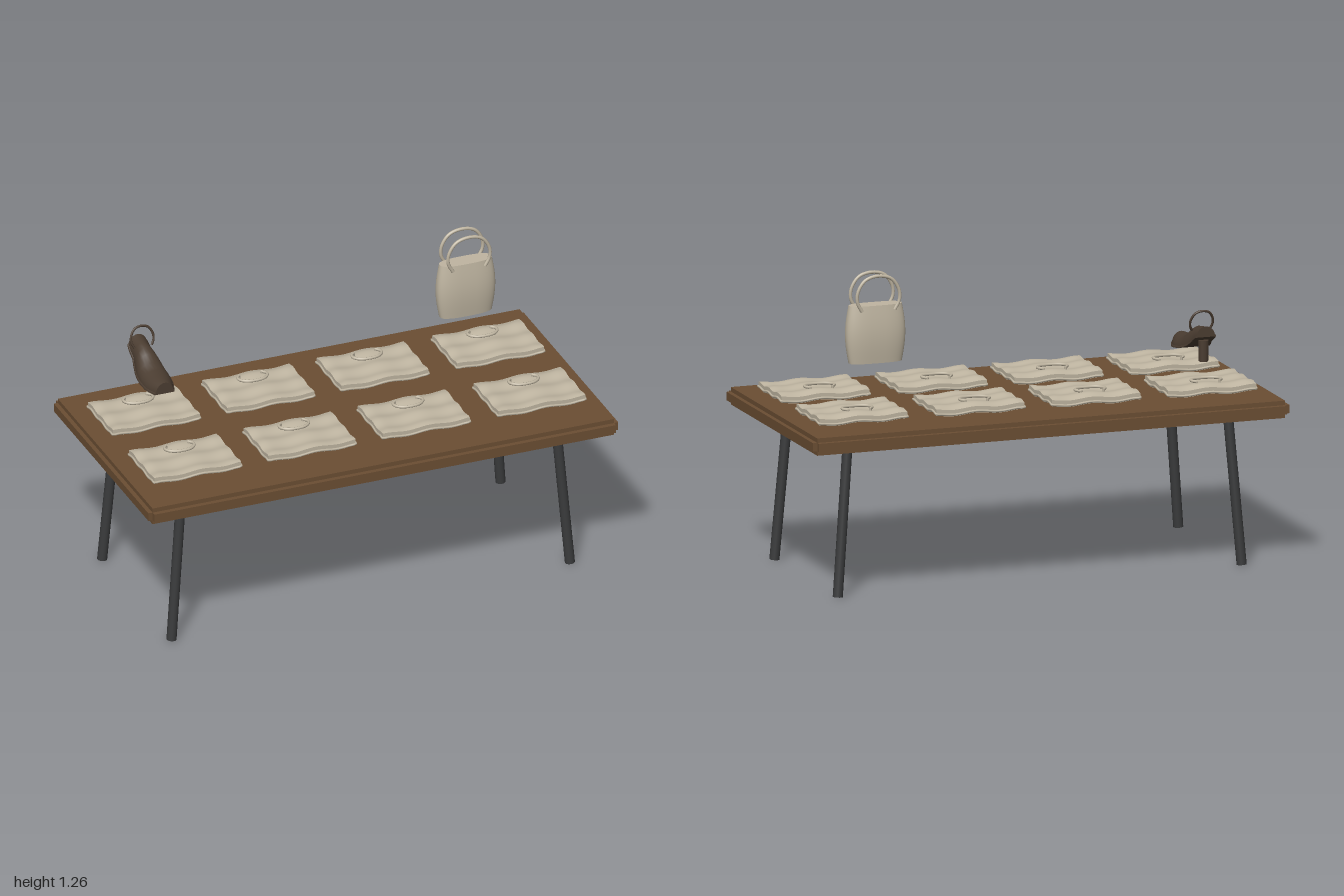
import * as THREE from 'three';

const mat = (name, color, side = THREE.FrontSide) => {
  const m = new THREE.MeshStandardMaterial({ color, side });
  m.name = name;
  return m;
};

// Skin over a list of equal rings, with flat end caps
function loft(rings) {
  const n = rings[0].length, pos = [], idx = [];
  rings.forEach(r => r.forEach(p => pos.push(...p)));
  for (let i = 0; i < rings.length - 1; i++) {
    for (let j = 0; j < n; j++) {
      const a = i * n + j, b = i * n + (j + 1) % n;
      idx.push(a, b, a + n, b, b + n, a + n);
    }
  }
  [rings[0], rings[rings.length - 1]].forEach((r, end) => {
    const c = pos.length / 3;
    pos.push(...[0, 1, 2].map(k => r.reduce((s, p) => s + p[k], 0) / n));
    r.forEach(p => pos.push(...p));
    for (let j = 0; j < n; j++) {
      const a = c + 1 + j, b = c + 1 + (j + 1) % n;
      idx.push(c, end ? a : b, end ? b : a);
    }
  });
  const g = new THREE.BufferGeometry();
  g.setAttribute('position', new THREE.Float32BufferAttribute(pos, 3));
  g.setIndex(idx);
  g.computeVertexNormals();
  return g;
}

// Horseshoe handle standing in the xy plane, its feet at y = 0
function handleGeometry(w, h, r) {
  const half = [[0.76, 0], [0.98, 0.28], [0.95, 0.58], [0.6, 0.9]];
  const pts = [
    ...half.map(([x, y]) => [-x, y]), [0, 1],
    ...half.slice().reverse(),
  ].map(([x, y]) => new THREE.Vector3(x * w, y * h, 0));
  return new THREE.TubeGeometry(new THREE.CatmullRomCurve3(pts), 32, r, 8);
}

// Gentle ripple of the cloth
const ripple = (x, z) => 0.004 * Math.sin(x * 33 + 1) + 0.0035 * Math.sin(z * 60 + 0.5);

// Soft flat bag body, thinner towards its edges
function pouchGeometry(w, t, d) {
  const g = new THREE.BoxGeometry(w, t, d, 30, 2, 24);
  const p = g.attributes.position;
  for (let i = 0; i < p.count; i++) {
    const x = p.getX(i), y = p.getY(i), z = p.getZ(i);
    const edge = Math.min(w / 2 - Math.abs(x), d / 2 - Math.abs(z));
    const k = 0.72 + 0.28 * Math.min(1, edge / 0.03);
    p.setY(i, y * k + ripple(x, z));
  }
  g.computeVertexNormals();
  return g;
}

// Piping that follows the rippled outline of the flat bag
function pipingGeometry(w, d, r) {
  const pts = [];
  const corners = [[-1, -1], [1, -1], [1, 1], [-1, 1]];
  corners.forEach(([x0, z0], c) => {
    const [x1, z1] = corners[(c + 1) % 4];
    for (let i = 0; i < 12; i++) {
      const x = (x0 + (x1 - x0) * i / 12) * w / 2, z = (z0 + (z1 - z0) * i / 12) * d / 2;
      pts.push(new THREE.Vector3(x, ripple(x, z) - 0.006, z));
    }
  });
  return new THREE.TubeGeometry(new THREE.CatmullRomCurve3(pts, true), 120, r, 6, true);
}

export function createModel() {
  const wood = mat('walnut wood', 0x6b4e33);
  const metal = mat('dark metal', 0x3a3b3c);
  const cream = mat('cream leather', 0xbfb5a1);
  const brown = mat('brown leather', 0x4b3d31);
  const root = new THREE.Group();
  root.name = 'displayTable';

  const add = (parent, name, geo, material, x = 0, y = 0, z = 0) => {
    const m = new THREE.Mesh(geo, material);
    m.name = name;
    m.position.set(x, y, z);
    parent.add(m);
    return m;
  };

  // Table top with a tongue along each edge
  add(root, 'tableTop', new THREE.BoxGeometry(1.965, 0.07, 0.985), wood, 0, 0.645, 0);
  for (const s of [-1, 1]) {
    add(root, 'longEdge', new THREE.BoxGeometry(1.965, 0.034, 0.025), wood, 0, 0.645, s * 0.4995);
    add(root, 'shortEdge', new THREE.BoxGeometry(0.025, 0.034, 0.985), wood, s * 0.9875, 0.645, 0);
  }

  // Splayed legs
  for (const sx of [-1, 1]) for (const sz of [-1, 1]) {
    const foot = new THREE.Vector3(sx * 0.848, 0.002, sz * 0.361);
    const head = new THREE.Vector3(sx * 0.8, 0.59, sz * 0.339);
    const dir = head.clone().sub(foot);
    const leg = add(root, 'leg', new THREE.CylinderGeometry(0.02, 0.02, dir.length(), 16), metal);
    leg.position.copy(foot).add(head).multiplyScalar(0.5);
    leg.quaternion.setFromUnitVectors(new THREE.Vector3(0, 1, 0), dir.normalize());
  }

  // Two rows of flat bags
  const pouch = pouchGeometry(0.37, 0.036, 0.262);
  const piping = pipingGeometry(0.372, 0.266, 0.005);
  const flatHandle = handleGeometry(0.062, 0.062, 0.006);
  for (const z of [-0.215, 0.215]) for (const x of [-0.73, -0.243, 0.243, 0.735]) {
    const bag = new THREE.Group();
    bag.name = 'flatBag';
    bag.position.set(x, 0.71, z);
    root.add(bag);
    add(bag, 'bagBody', pouch, cream);
    add(bag, 'bagPiping', piping, cream);
    add(bag, 'bagHandle', flatHandle, cream, 0, 0.029, -0.085).rotation.x = Math.PI / 2;
    for (const s of [-1, 1]) {
      add(bag, 'handleMount', new THREE.CylinderGeometry(0.006, 0.006, 0.026, 8), cream,
        s * 0.047, 0.018, -0.083);
    }
  }

  // Upright handbag: rounded rings that swell at mid height
  const handbag = new THREE.Group();
  handbag.name = 'handbag';
  handbag.position.set(0.624, 0.897, -0.179);
  root.add(handbag);
  const bagRings = [];
  for (let i = 0; i <= 10; i++) {
    const swell = Math.sin(Math.PI * i / 10), ring = [];
    for (let j = 0; j < 40; j++) {
      const a = j / 40 * Math.PI * 2, s = Math.sin(a), c = Math.cos(a);
      ring.push([
        Math.sign(s) * Math.abs(s) ** 0.75 * (0.11 + 0.014 * swell), i * 0.0233,
        Math.sign(c) * Math.abs(c) ** 0.75 * (0.035 + 0.01 * swell)]);
    }
    bagRings.push(ring);
  }
  add(handbag, 'handbagBody', loft(bagRings), cream);
  const tallHandle = handleGeometry(0.09, 0.14, 0.007);
  for (const s of [-1, 1]) add(handbag, 'handbagHandle', tallHandle, cream, 0, 0.213, s * 0.038);

  // Heeled shoe: z, half width, underside, top
  const shoe = new THREE.Group();
  shoe.name = 'shoe';
  shoe.position.x = -0.696;
  root.add(shoe);
  const sections = [
    [-0.365, 0.042, 0.932, 0.975], [-0.34, 0.045, 0.918, 0.969], [-0.31, 0.044, 0.9, 0.966],
    [-0.28, 0.051, 0.882, 0.96], [-0.25, 0.058, 0.87, 0.943], [-0.22, 0.063, 0.862, 0.918],
    [-0.18, 0.065, 0.856, 0.906], [-0.14, 0.061, 0.851, 0.902], [-0.11, 0.052, 0.85, 0.9],
    [-0.082, 0.041, 0.85, 0.898]];
  const shoeRings = (grow, height) => sections.map(([z, w, low, top]) => {
    const ring = [];
    for (let j = 0; j < 28; j++) {
      const a = j / 28 * Math.PI * 2, c = Math.cos(a);
      const h = height ?? top - low;
      ring.push([c * (w + grow), low + h * Math.max(0, Math.sin(a)) ** (height ? 0.4 : 1), z]);
    }
    return ring;
  });
  add(shoe, 'shoeUpper', loft(shoeRings(-0.003)), brown);
  add(shoe, 'shoeSole', loft(shoeRings(0.001, 0.012)), brown);
  add(shoe, 'shoeHeel', new THREE.CylinderGeometry(0.021, 0.019, 0.085, 10), brown, 0, 0.872, -0.338);
  add(shoe, 'ankleStrap', handleGeometry(0.048, 0.084, 0.005), brown, 0, 0.949, -0.306).rotation.x = -0.28;

  return root;
}
